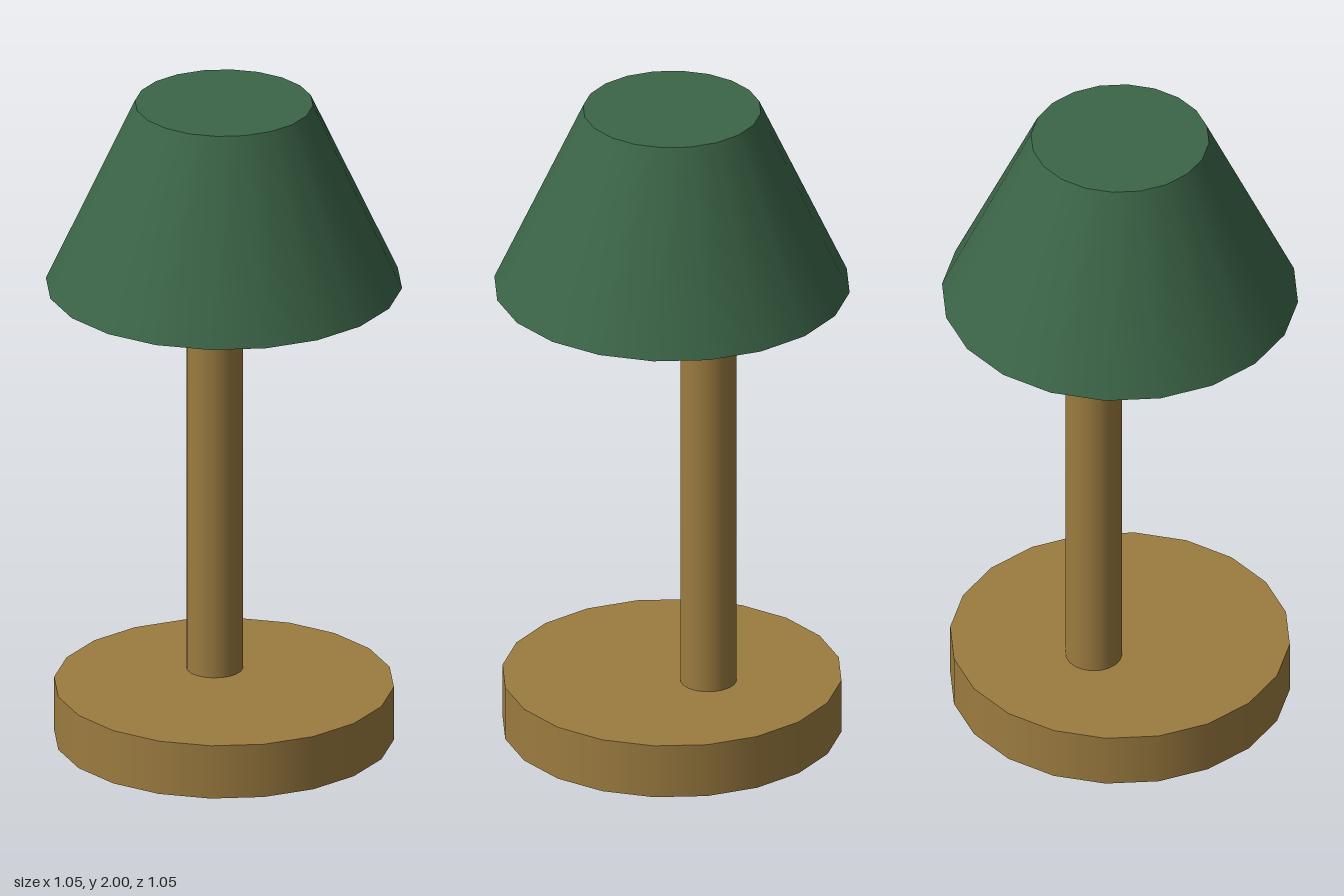
import * as THREE from 'three';

const SIDES = 20;

export function createModel() {
  const model = new THREE.Group();
  model.name = 'tableLamp';

  const wood = new THREE.MeshStandardMaterial({ color: 0x9c7c40 });
  wood.name = 'warm wood';
  const green = new THREE.MeshStandardMaterial({ color: 0x3b6447 });
  green.name = 'shade green';
  const glow = new THREE.MeshStandardMaterial({ color: 0xe2b464 });
  glow.name = 'light amber';

  // Capped round part between two heights
  function addRound(name, material, topRadius, bottomRadius, bottom, top, z = 0) {
    const geometry = new THREE.CylinderGeometry(topRadius, bottomRadius, top - bottom, SIDES);
    const mesh = new THREE.Mesh(geometry, material);
    mesh.name = name;
    mesh.position.set(0, (bottom + top) / 2, z);
    model.add(mesh);
  }

  addRound('base', wood, 0.5, 0.5, 0, 0.167);
  // The pole stands behind the centre of the base
  addRound('pole', wood, 0.083, 0.083, 0.167, 1.425, -0.117);
  // Lit disc showing just under the shade
  addRound('lightDisc', glow, 0.415, 0.415, 1.42, 1.45);
  addRound('shade', green, 0.262, 0.524, 1.43, 2);

  return model;
}
